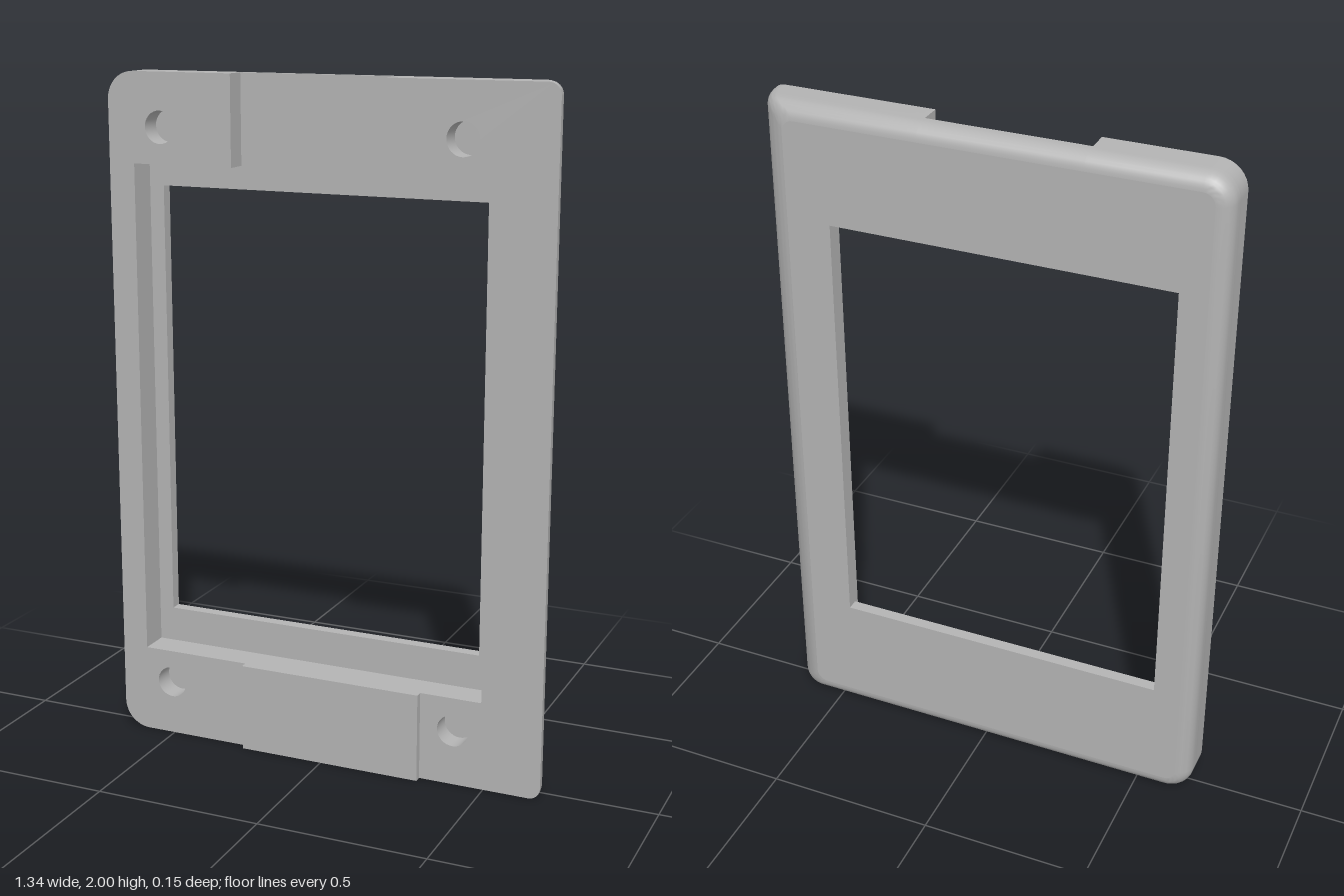
import * as THREE from 'three';
import { toCreasedNormals } from 'three/addons/utils/BufferGeometryUtils.js';

// Depth levels: back face, pocket floor, notch floor, front face
const BACK = -0.075, POCKET = -0.04, NOTCH = -0.015, FRONT = 0.05;
const HALF = 0.67, HEIGHT = 2, FILLET = 0.045, SIDE_R = 0.132;
const NOTCH_L = -0.28, NOTCH_R = 0.185;

const grey = new THREE.MeshStandardMaterial({ color: 0xb3b3b3, side: THREE.DoubleSide });
grey.name = 'grey plastic';

// Outline of the body at depth z, anticlockwise from the notch's left to its right
function outline(z) {
  const d = Math.max(0, FILLET - (z - BACK));
  const inset = FILLET - Math.sqrt(FILLET ** 2 - d ** 2);
  const sideInset = SIDE_R - Math.sqrt(SIDE_R ** 2 - (FRONT - z) ** 2);
  const x0 = -HALF + inset, x1 = HALF - sideInset, y0 = inset, y1 = HEIGHT - inset;
  const rl = 0.08 - inset, rr = 0.035;
  const pts = [[NOTCH_L, y1]];
  const corner = (cx, cy, r, start) => {
    for (let i = 0; i <= 8; i++) {
      const a = start + (i / 8) * Math.PI / 2;
      pts.push([cx + r * Math.cos(a), cy + r * Math.sin(a)]);
    }
  };
  corner(x0 + rl, y1 - rl, rl, Math.PI / 2);
  corner(x0 + rl, y0 + rl, rl, Math.PI);
  corner(x1 - rr, y0 + rr, rr, Math.PI * 1.5);
  corner(x1 - rr, y1 - rr, rr, 0);
  pts.push([NOTCH_R, y1]);
  return pts;
}

// Wall through matching 2D paths at rising depths
function wall(levels, pathAt, closed) {
  const pos = [], index = [];
  let n = 0;
  for (const z of levels) {
    const path = pathAt(z);
    n = path.length;
    for (const [x, y] of path) pos.push(x, y, z);
  }
  for (let k = 0; k < levels.length - 1; k++) {
    for (let i = 0; i < (closed ? n : n - 1); i++) {
      const a = k * n + i, b = k * n + (i + 1) % n;
      index.push(a, b, b + n, a, b + n, a + n);
    }
  }
  const g = new THREE.BufferGeometry();
  g.setAttribute('position', new THREE.Float32BufferAttribute(pos, 3));
  g.setIndex(index);
  return toCreasedNormals(g, 0.6);
}

// Flat face at depth z with optional holes
function face(path, holes, z, facingBack) {
  const vec = (p) => p.map(([x, y]) => new THREE.Vector2(x, y));
  const shape = new THREE.Shape(vec(path));
  for (const h of holes) shape.holes.push(new THREE.Path(vec(h)));
  const g = new THREE.ShapeGeometry(shape);
  g.translate(0, 0, z);
  if (facingBack) {
    g.index.array.reverse();
    g.computeVertexNormals();
  }
  return g;
}

// Clockwise rectangle and circle, so that walls face inward
const rect = (x0, x1, y0, y1) => [[x1, y1], [x1, y0], [x0, y0], [x0, y1]];
const circle = (cx, cy, r) => Array.from({ length: 32 }, (_, i) => {
  const a = -i / 32 * Math.PI * 2;
  return [cx + r * Math.cos(a), cy + r * Math.sin(a)];
});

export function createModel() {
  const model = new THREE.Group();
  model.name = 'frame';
  const add = (name, geometry) => {
    const mesh = new THREE.Mesh(geometry, grey);
    mesh.name = name;
    model.add(mesh);
    return mesh;
  };

  const pocket = rect(-0.59, 0.49, 0.265, 1.74);
  const windowHole = rect(-0.545, 0.45, 0.37, 1.67);
  const screwHoles = [];
  for (const x of [-0.505, 0.405]) for (const y of [0.165, 1.845]) screwHoles.push(circle(x, y, 0.047));

  // Outer shell: rounded back edges, closed up to the notch floor, open above it
  const lower = [];
  for (let i = 0; i <= 8; i++) lower.push(BACK + FILLET * (1 - Math.cos(i / 8 * Math.PI / 2)));
  lower.push(NOTCH);
  add('outerShellBack', wall(lower, outline, true));
  add('outerShellFront', wall([NOTCH, 0, 0.015, 0.033, FRONT], outline, false));

  // Front and back faces
  const innerPath = [[NOTCH_R, HEIGHT], [NOTCH_R, 1.74], ...pocket, [NOTCH_L, 1.74], [NOTCH_L, HEIGHT]];
  const frontPath = [...outline(FRONT), ...innerPath.slice(1, -1)];
  add('frontFace', face(frontPath, screwHoles, FRONT, false));
  add('backFace', face(outline(BACK), [windowHole], BACK, true));

  // Notch, pocket and window opening
  add('notchAndPocketWalls', wall([NOTCH, FRONT], () => innerPath, false));
  add('notchFloor', face(rect(NOTCH_L, NOTCH_R, 1.74, HEIGHT), [], NOTCH, false));
  add('pocketWalls', wall([POCKET, NOTCH], () => pocket, true));
  add('pocketFloor', face(pocket, [windowHole], POCKET, false));
  add('windowWalls', wall([BACK, POCKET], () => windowHole, true));

  // Blind screw holes
  for (const hole of screwHoles) {
    add('screwHoleWall', wall([NOTCH, FRONT], () => hole, true));
    add('screwHoleFloor', face(hole, [], NOTCH, false));
  }

  // Raised tab at the bottom
  const tab = add('bottomTab', new THREE.BoxGeometry(0.56, 0.265, 0.022));
  tab.position.set(0.025, 0.1325, FRONT + 0.011);

  return model;
}
